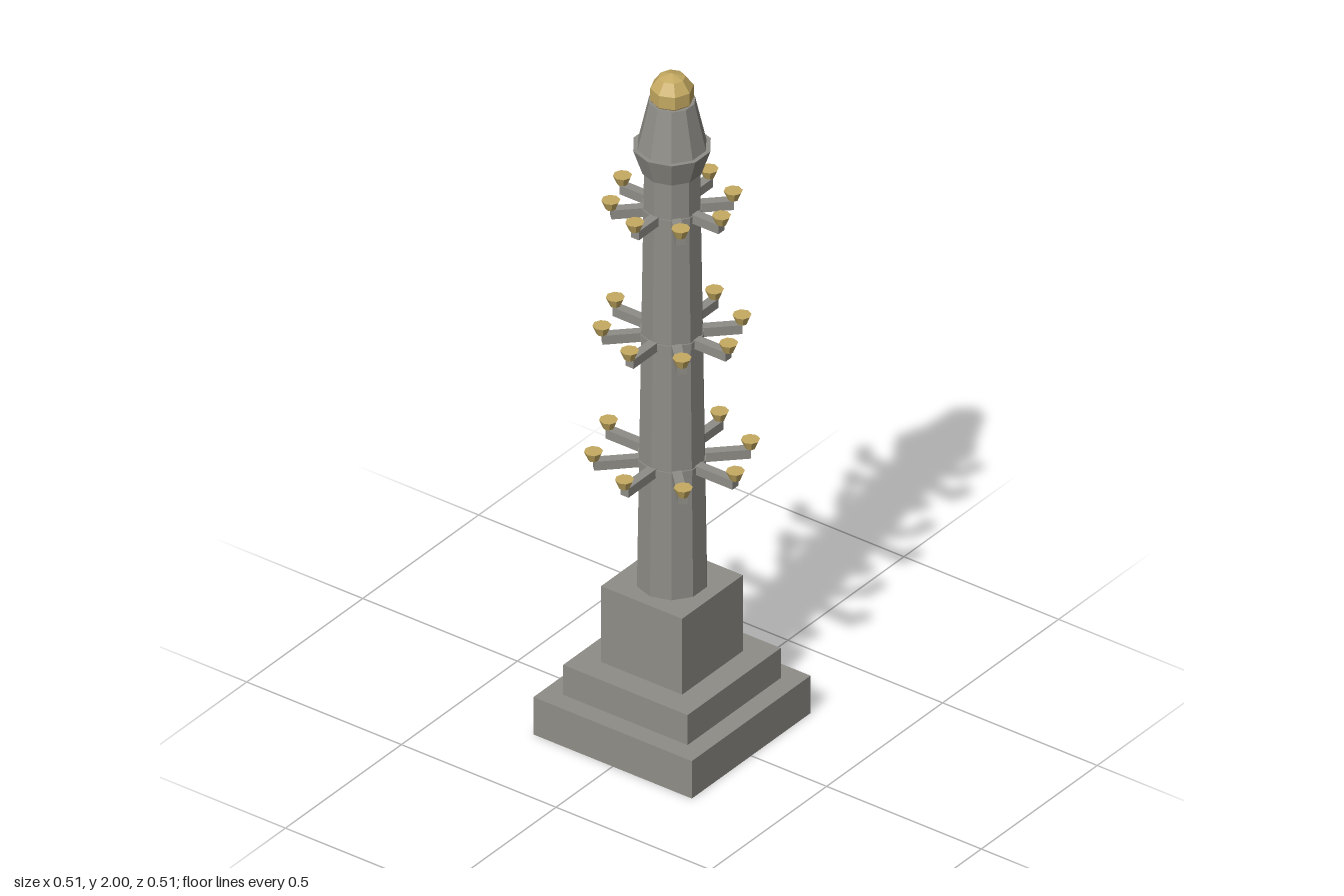
import * as THREE from 'three';

export function createModel() {
  const stone = new THREE.MeshStandardMaterial({ color: 0x8f8d87 });
  const brass = new THREE.MeshStandardMaterial({ color: 0xc5aa62 });
  stone.name = 'grey stone';
  brass.name = 'pale brass';
  stone.flatShading = brass.flatShading = true;

  const model = new THREE.Group();
  model.name = 'lampTower';

  function add(parent, name, geometry, material, x, y, z) {
    const mesh = new THREE.Mesh(geometry, material);
    mesh.name = name;
    mesh.position.set(x, y, z);
    parent.add(mesh);
    return mesh;
  }

  // Ten-sided tapered drum with corners on the x axis
  function drum(name, rTop, rBottom, y0, y1) {
    const g = new THREE.CylinderGeometry(rTop, rBottom, y1 - y0, 10).rotateY(Math.PI / 2);
    add(model, name, g, stone, 0, (y0 + y1) / 2, 0);
  }

  // Stepped square base
  [[0.512, 0, 0.115], [0.402, 0.115, 0.207], [0.262, 0.207, 0.44]].forEach(([w, y0, y1], i) =>
    add(model, `baseStep${i + 1}`, new THREE.BoxGeometry(w, y1 - y0, w), stone, 0, (y0 + y1) / 2, 0));

  // Shaft, collar and roof
  const shaftRadius = (y) => 0.095 - 0.019 * (y - 0.44) / 1.265;
  drum('shaft', shaftRadius(1.705), shaftRadius(0.44), 0.44, 1.705);
  drum('collar', 0.105, 0.08, 1.705, 1.78);
  drum('roof', 0.062, 0.093, 1.78, 1.918);

  // Faceted finial
  add(model, 'finial', new THREE.SphereGeometry(0.06, 8, 5), brass, 0, 1.94, 0);

  // Three tiers of eight bracket arms, each carrying a lamp bowl
  const bowl = new THREE.CylinderGeometry(0.025, 0.014, 0.026, 8);
  [[0.818, 0.205], [1.203, 0.183], [1.586, 0.16]].forEach(([y, reach], t) => {
    const tier = new THREE.Group();
    tier.name = `lampTier${t + 1}`;
    model.add(tier);
    const r = shaftRadius(y) + 0.003;
    const band = new THREE.CylinderGeometry(r, r, 0.02, 10).rotateY(Math.PI / 2);
    add(tier, 'shaftBand', band, stone, 0, y, 0);

    const inner = 0.06;
    const armGeometry = new THREE.BoxGeometry(reach - inner, 0.027, 0.026);
    for (let i = 0; i < 8; i++) {
      const bracket = new THREE.Group();
      bracket.name = `bracket${i + 1}`;
      bracket.rotation.y = i * Math.PI / 4;
      bracket.position.y = y;
      tier.add(bracket);
      add(bracket, 'arm', armGeometry, stone, (reach + inner) / 2, 0, 0);
      add(bracket, 'lampBowl', bowl, brass, reach, 0.0255, 0);
    }
  });

  return model;
}
